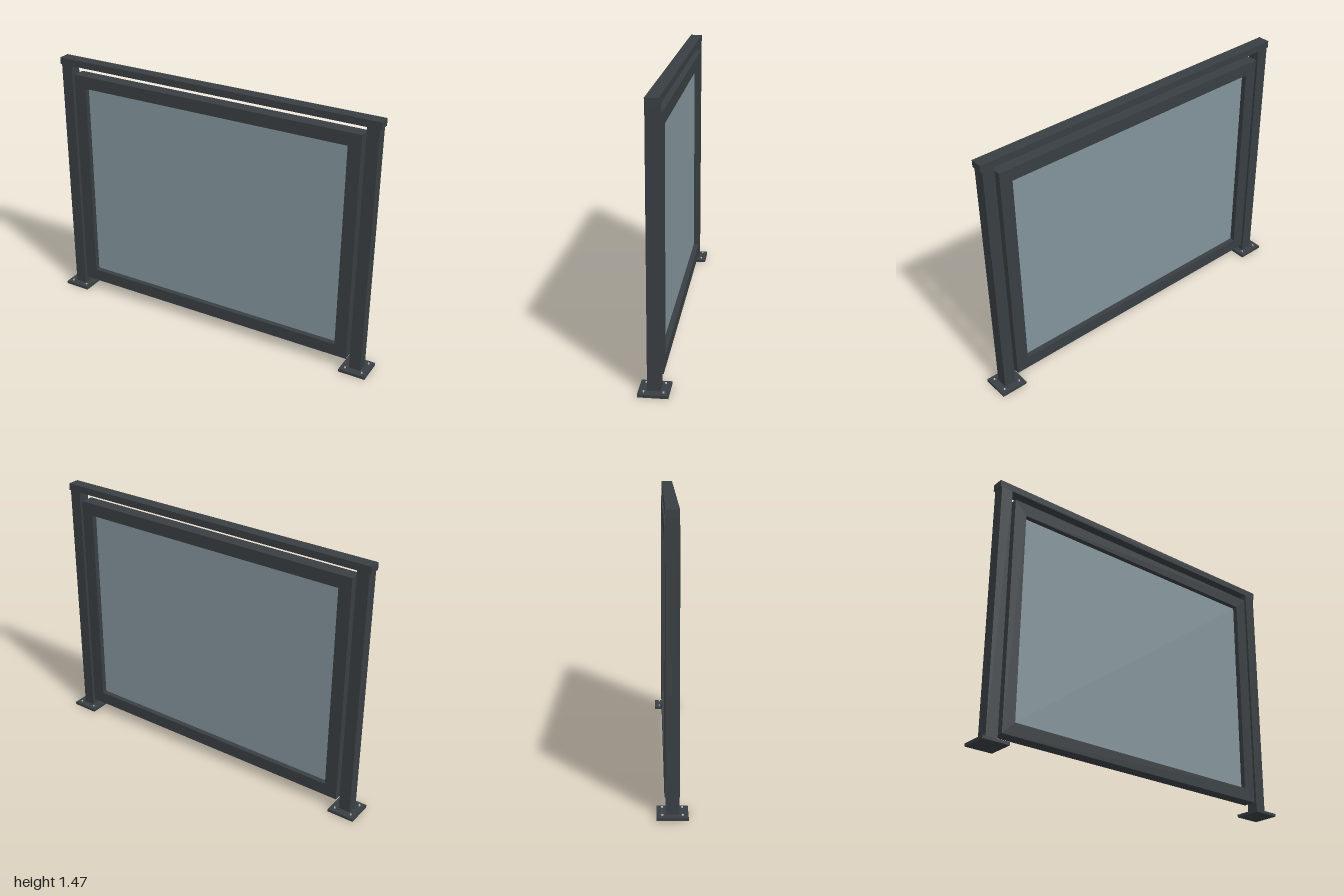
import * as THREE from 'three';

const steel = new THREE.MeshStandardMaterial({ color: 0x383e42 });
const boltSteel = new THREE.MeshStandardMaterial({ color: 0xb4b8ba });
const glassTint = new THREE.MeshStandardMaterial({ color: 0x82939a });

function add(parent, name, geometry, material, x, y, z) {
  const mesh = new THREE.Mesh(geometry, material);
  mesh.name = name;
  mesh.position.set(x, y, z);
  parent.add(mesh);
  return mesh;
}

// Rectangle path, centred on x, between two heights
function rectangle(path, halfWidth, bottom, top) {
  path.moveTo(-halfWidth, bottom);
  path.lineTo(halfWidth, bottom);
  path.lineTo(halfWidth, top);
  path.lineTo(-halfWidth, top);
  path.closePath();
  return path;
}

export function createModel() {
  const model = new THREE.Group();
  model.name = 'glassRailingPanel';

  const plateWidth = 0.154, plateHeight = 0.016;
  const postWidth = 0.067, postX = 1 - plateWidth / 2;
  const railBottom = 1.435, railTop = 1.474;

  // Posts on bolted base plates
  for (const [side, sx] of [['left', 1], ['right', -1]]) {
    const support = new THREE.Group();
    support.name = side + 'Support';
    support.position.x = sx * postX;
    model.add(support);

    add(support, 'basePlate', new THREE.BoxGeometry(plateWidth, plateHeight, plateWidth),
      steel, 0, plateHeight / 2, 0);
    const postHeight = railBottom - plateHeight;
    add(support, 'post', new THREE.BoxGeometry(postWidth, postHeight, postWidth),
      steel, 0, plateHeight + postHeight / 2, 0);
    for (const bx of [-1, 1]) {
      for (const bz of [-1, 1]) {
        add(support, 'bolt', new THREE.CylinderGeometry(0.005, 0.005, 0.007, 12),
          boltSteel, bx * 0.049, plateHeight + 0.0035, bz * 0.049);
      }
    }
  }

  // Handrail across both posts
  add(model, 'handrail', new THREE.BoxGeometry(1.932, railTop - railBottom, postWidth),
    steel, 0, (railTop + railBottom) / 2, 0);

  // Panel frame with a rectangular opening
  const frameDepth = 0.075;
  const outline = rectangle(new THREE.Shape(), 0.87, 0.067, 1.39);
  outline.holes.push(rectangle(new THREE.Path(), 0.798, 0.139, 1.318));
  add(model, 'panelFrame',
    new THREE.ExtrudeGeometry(outline, { depth: frameDepth, bevelEnabled: false }),
    steel, 0, 0, -frameDepth / 2);

  // Glass pane, set into the middle of the frame
  add(model, 'glassPane', new THREE.BoxGeometry(1.596, 1.179, 0.015),
    glassTint, 0, 0.7285, 0);

  return model;
}
